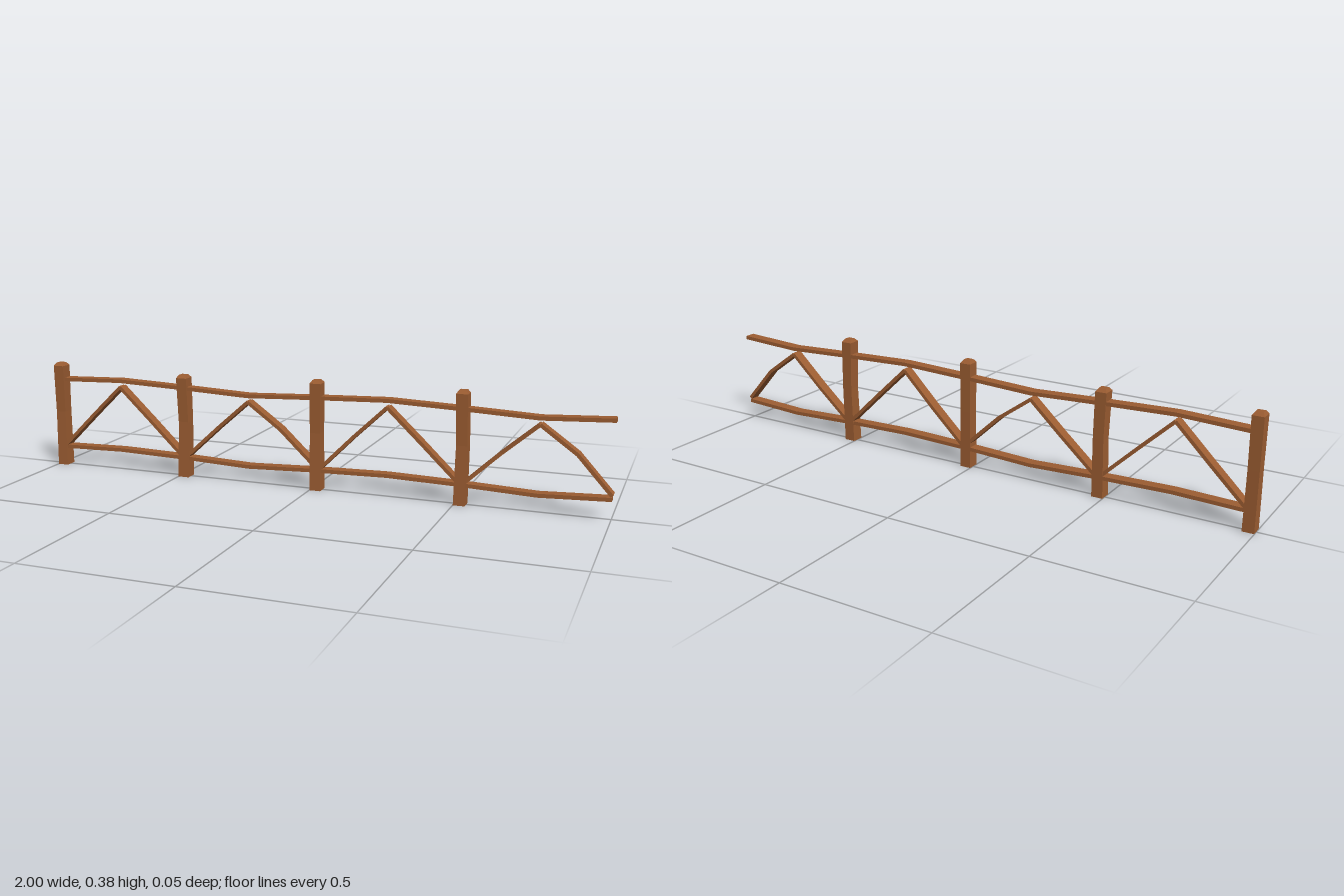
import * as THREE from 'three';

const wood = new THREE.MeshStandardMaterial({ color: 0x9c5d32 });
wood.name = 'brownWood';
wood.flatShading = true;

// Closed flat-sided beam through a series of four-cornered rings
function loft(name, rings) {
  const pos = [];
  const quad = (a, b, c, d) => [a, b, c, a, c, d].forEach((p) => pos.push(...p));
  for (let i = 0; i < rings.length - 1; i++) {
    const a = rings[i], b = rings[i + 1];
    for (let k = 0; k < 4; k++) {
      const n = (k + 1) % 4;
      quad(a[k], a[n], b[n], b[k]);
    }
  }
  const s = rings[0], e = rings[rings.length - 1];
  quad(s[3], s[2], s[1], s[0]);
  quad(e[0], e[1], e[2], e[3]);
  const geo = new THREE.BufferGeometry();
  geo.setAttribute('position', new THREE.Float32BufferAttribute(pos, 3));
  geo.computeVertexNormals();
  const mesh = new THREE.Mesh(geo, wood);
  mesh.name = name;
  return mesh;
}

// Plank along a path of [x, y, z]: thin in the xy plane, deep along z
function plank(name, path, thick, depth) {
  const rings = path.map(([x, y, z], i) => {
    const p = path[Math.max(i - 1, 0)], q = path[Math.min(i + 1, path.length - 1)];
    const len = Math.hypot(q[0] - p[0], q[1] - p[1]);
    const ux = (-(q[1] - p[1]) / len) * thick / 2, uy = ((q[0] - p[0]) / len) * thick / 2;
    const h = depth / 2;
    return [
      [x - ux, y - uy, z - h], [x + ux, y + uy, z - h],
      [x + ux, y + uy, z + h], [x - ux, y - uy, z + h],
    ];
  });
  return loft(name, rings);
}

// Hand-hewn post with a slight waist and a chamfered top
function post(name, x, height, lean) {
  const sections = [
    [0, 0, 0.0035, 0.0195, 0.0215],
    [0.2, lean, 0.001, 0.0185, 0.0195],
    [height - 0.011, 0, 0.0035, 0.0195, 0.0215],
    [height, 0, 0.0035, 0.012, 0.011],
  ];
  return loft(name, sections.map(([y, dx, z, w, d]) => [
    [x + dx - w, y, z - d], [x + dx - w, y, z + d],
    [x + dx + w, y, z + d], [x + dx + w, y, z - d],
  ]));
}

export function createModel() {
  const fence = new THREE.Group();
  fence.name = 'fence';
  const bay = 0.5, first = -0.98;
  const topRail = [[first, 0.32, 0.001]], bottomRail = [[first, 0.069, 0.001]];

  for (let i = 0; i < 4; i++) {
    const x = first + i * bay, odd = i % 2 === 1;
    const end = Math.min(x + bay, 1), mid = x + 0.25;

    fence.add(post('post' + (i + 1), x, odd && i === 1 ? 0.367 : 0.381, odd ? 0.003 : -0.001));

    // Rails bow up and down in alternate bays
    topRail.push([mid, odd ? 0.309 : 0.329, 0.001], [end, 0.32, 0.001]);
    bottomRail.push([mid, odd ? 0.059 : 0.075, 0.001], [end, 0.069, 0.001]);

    // Pair of braces meeting at an apex
    const apex = odd ? 0.288 : 0.306;
    fence.add(plank('risingBrace' + (i + 1), [
      [x + 0.01, 0.073, 0.001], [x + 0.13, (apex + 0.073) / 2 + 0.004, -0.006], [mid, apex, 0.001],
    ], 0.012, 0.036));
    fence.add(plank('fallingBrace' + (i + 1), [
      [mid, apex, 0.001],
      [x + 0.37, odd ? 0.202 : 0.193, 0.001],
      [end, odd ? 0.08 : 0.068, 0.001],
    ], 0.012, 0.036));
  }

  fence.add(plank('topRail', topRail, 0.013, 0.037));
  fence.add(plank('bottomRail', bottomRail, 0.013, 0.037));
  return fence;
}
